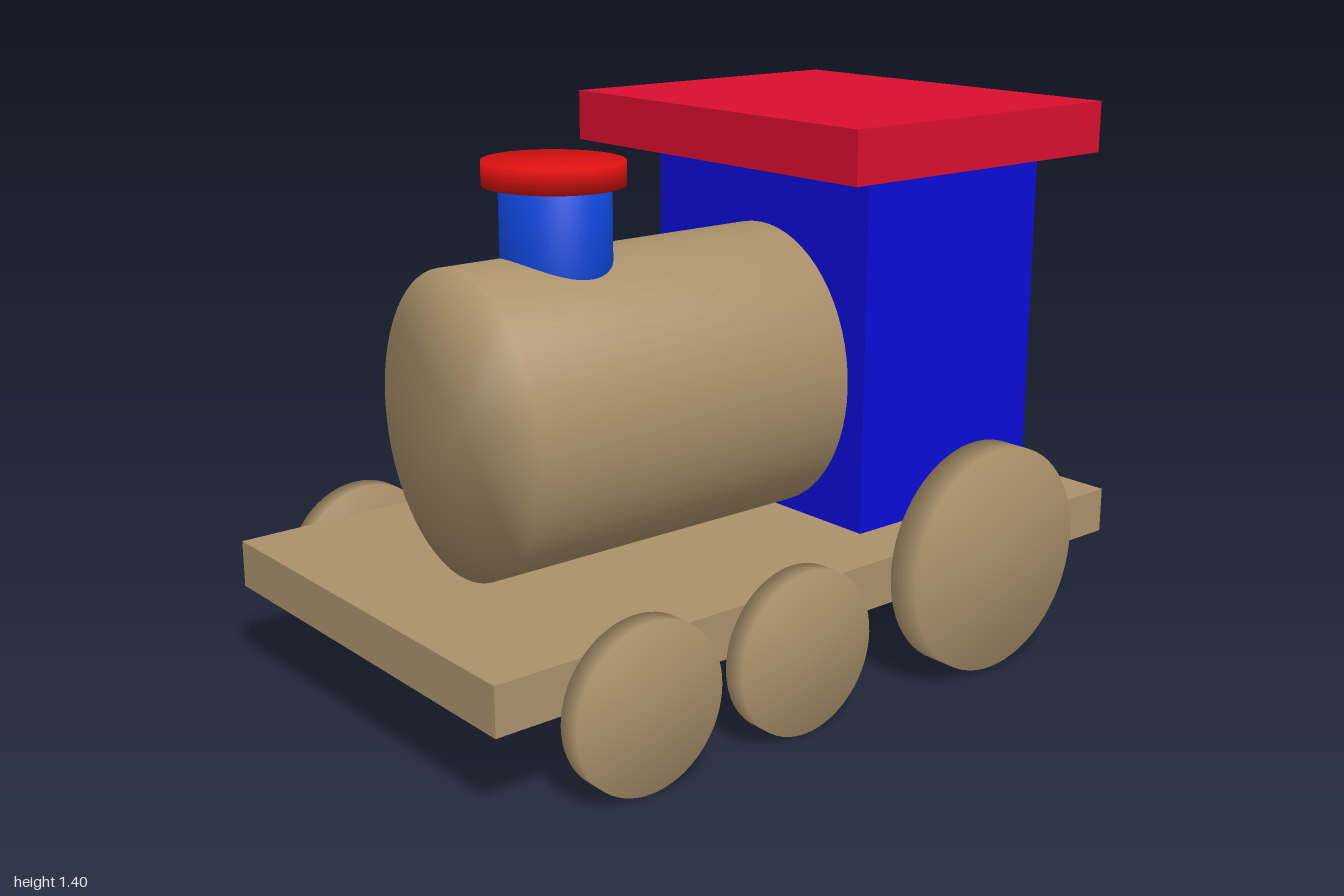
import * as THREE from 'three';
import { mergeVertices } from 'three/addons/utils/BufferGeometryUtils.js';

const paint = (name, color) => {
  const m = new THREE.MeshStandardMaterial({ color });
  m.name = name;
  return m;
};

// Cylinder whose normals run smoothly over the rim
function softCylinder(r, h) {
  const g = new THREE.CylinderGeometry(r, r, h, 64);
  g.deleteAttribute('normal');
  g.deleteAttribute('uv');
  const merged = mergeVertices(g, 1e-4);
  merged.computeVertexNormals();
  return merged;
}

export function createModel() {
  const model = new THREE.Group();
  const wood = paint('wood', 0xaa916a);
  const cabBlue = paint('cab blue', 0x0c0cd8);
  const chimneyBlue = paint('chimney blue', 0x1048e0);
  const roofRed = paint('roof red', 0xd90e2f);
  const capRed = paint('cap red', 0xdc1010);

  const add = (name, geometry, material, x, y, z) => {
    const mesh = new THREE.Mesh(geometry, material);
    mesh.name = name;
    mesh.position.set(x, y, z);
    model.add(mesh);
    return mesh;
  };

  // Box given by its limits on each axis
  const box = (name, material, [x0, x1], [y0, y1], [z0, z1]) =>
    add(name, new THREE.BoxGeometry(x1 - x0, y1 - y0, z1 - z0), material,
      (x0 + x1) / 2, (y0 + y1) / 2, (z0 + z1) / 2);

  box('base', wood, [-0.57, 0.56], [0.226, 0.346], [-1, 1]);
  box('cab', cabBlue, [-0.413, 0.392], [0.346, 1.274], [-0.86, -0.235]);
  box('roof', roofRed, [-0.546, 0.525], [1.272, 1.405], [-0.945, -0.06]);

  // Boiler: oval barrel lying along z
  const barrel = softCylinder(1, 0.95).rotateX(Math.PI / 2).scale(0.332, 0.377, 1);
  add('boiler', barrel, wood, 0.003, 0.722, 0.235);

  // Chimney and its cap
  add('chimney', softCylinder(1, 0.3).scale(0.141, 1, 0.132), chimneyBlue, 0.009, 1.13, 0.425);
  add('chimneyCap', softCylinder(1, 0.058).scale(0.179, 1, 0.168), capRed, 0.009, 1.295, 0.428);

  // Wheels: [name, radius, width, y, z]
  const wheels = [
    ['frontWheel', 0.204, 0.057, 0.208, 0.636],
    ['middleWheel', 0.204, 0.057, 0.208, 0.168],
    ['rearWheel', 0.292, 0.085, 0.299, -0.457],
  ];
  for (const [name, r, w, y, z] of wheels) {
    const g = softCylinder(r, w).rotateZ(Math.PI / 2);
    add(name + 'Left', g, wood, 0.57 + w / 2, y, z);
    add(name + 'Right', g, wood, -0.574 - w / 2, y, z);
  }
  return model;
}
